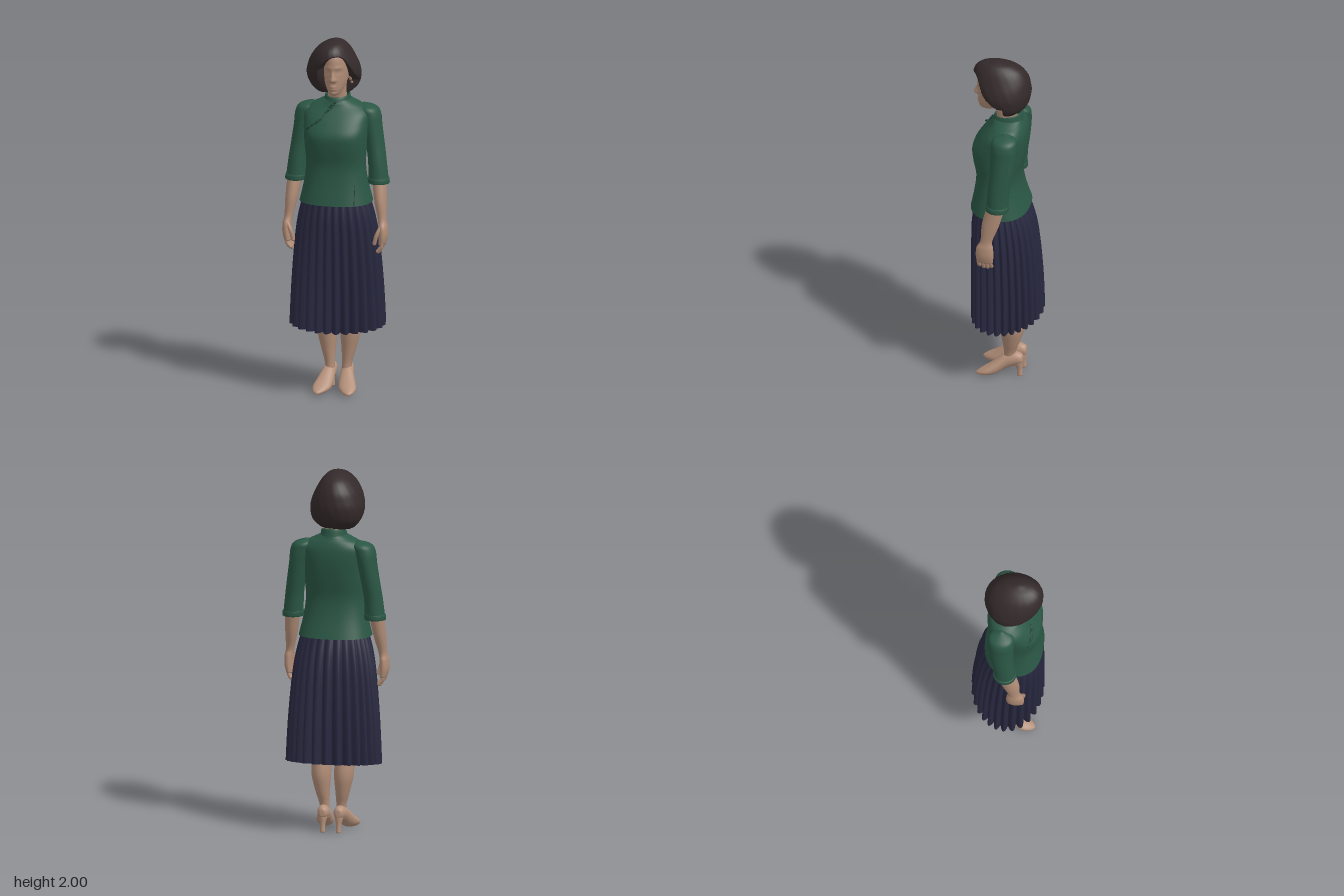
import * as THREE from 'three';
import { mergeGeometries } from 'three/addons/utils/BufferGeometryUtils.js';

const mat = (name, color, side = THREE.FrontSide) =>
  Object.assign(new THREE.MeshStandardMaterial({ color, side }), { name });
const smooth = (v, a, b) => THREE.MathUtils.smoothstep(v, a, b);
const bump = (v, c, w) => Math.exp(-(((v - c) / w) ** 2));

// Section key: [height, centreX, halfWidth, frontZ, backZ, squareness]
function sample(keys, t) {
  const n = keys.length - 1, f = t * n, i = Math.min(Math.floor(f), n - 1), u = f - i;
  const at = (k, c) => keys[Math.max(0, Math.min(n, k))][c] ?? 2;
  return [0, 1, 2, 3, 4, 5].map(c => {
    const [a, b, d, e] = [at(i - 1, c), at(i, c), at(i + 1, c), at(i + 2, c)];
    return b + 0.5 * u * (d - a + u * (2 * a - 5 * b + 4 * d - e + u * (3 * (b - d) + e - a)));
  });
}

// Smooth skin over sections listed from bottom to top
function loft(keys, { seg = 32, steps = 5, cap = true, warp } = {}) {
  const pos = [], idx = [], rings = (keys.length - 1) * steps, v = new THREE.Vector3();
  for (let i = 0; i <= rings; i++) {
    const [y, cx, rx, zf, zb, p] = sample(keys, i / rings);
    for (let j = 0; j < seg; j++) {
      const a = (j / seg) * Math.PI * 2, s = Math.sin(a), c = Math.cos(a), e = 2 / p;
      v.set(cx + rx * Math.sign(s) * Math.abs(s) ** e, y,
        (zf + zb) / 2 + (zf - zb) / 2 * Math.sign(c) * Math.abs(c) ** e);
      if (warp) warp(v, a, i / rings);
      pos.push(v.x, v.y, v.z);
      if (i < rings) {
        const k = i * seg + j, m = i * seg + (j + 1) % seg;
        idx.push(k, m, m + seg, k, m + seg, k + seg);
      }
    }
  }
  if (cap) for (const i of [0, rings]) {
    const [y, cx, , zf, zb] = sample(keys, i / rings), centre = pos.length / 3;
    pos.push(cx, y, (zf + zb) / 2);
    for (let j = 0; j < seg; j++) {
      const k = i * seg + j, m = i * seg + (j + 1) % seg;
      idx.push(centre, ...(i ? [k, m] : [m, k]));
    }
  }
  const g = new THREE.BufferGeometry();
  g.setAttribute('position', new THREE.Float32BufferAttribute(pos, 3));
  g.setIndex(idx);
  g.computeVertexNormals();
  return g;
}

// Round cord or finger along points, with round ends
function cord(points, r) {
  const pts = points.map(p => new THREE.Vector3(...p));
  const ends = [pts[0], pts[pts.length - 1]].map(p => new THREE.SphereGeometry(r, 10, 8).translate(p.x, p.y, p.z));
  return mergeGeometries([new THREE.TubeGeometry(new THREE.CatmullRomCurve3(pts), 16, r, 10), ...ends]);
}

const torsoKeys = [
  [1.085, 0, .2, .197, -.126, 2.4], [1.2, 0, .174, .176, -.092, 2.4], [1.3, 0, .163, .168, -.08, 2.4],
  [1.4, 0, .17, .185, -.095, 2.5], [1.47, 0, .175, .188, -.105, 2.5], [1.53, 0, .18, .156, -.11, 2.4],
  [1.58, 0, .18, .118, -.108, 2.3], [1.615, 0, .15, .09, -.1, 2.1], [1.637, 0, .108, .08, -.09, 2], [1.655, 0, .07, .074, -.083, 2]];

// Front surface of the blouse at a given x and y
function chestPoint(x, y, lift = .002) {
  let lo = 0, hi = 1;
  for (let i = 0; i < 24; i++) {
    const m = (lo + hi) / 2;
    if (sample(torsoKeys, m)[0] < y) lo = m; else hi = m;
  }
  const [, , rx, zf, zb, p] = sample(torsoKeys, lo);
  const c = Math.max(0, 1 - Math.min(1, Math.abs(x) / rx) ** p) ** (1 / p);
  return [x, y, (zf + zb) / 2 + (zf - zb) / 2 * c + lift];
}

export function createModel() {
  const model = new THREE.Group();
  model.name = 'woman';
  const skin = mat('skin', 0xb08c76), shoe = mat('shoe leather', 0xb5917b);
  const green = mat('blouse green', 0x2a5644, THREE.DoubleSide), trim = mat('trim green', 0x1f4436);
  const navy = mat('skirt navy', 0x27273f, THREE.DoubleSide), hairMat = mat('hair', 0x33292a, THREE.DoubleSide);
  const metal = mat('earring', 0x8c7558);
  const add = (name, geo, material) => {
    const m = new THREE.Mesh(geo, material);
    m.name = name;
    model.add(m);
    return m;
  };

  // Pleated skirt, hem slightly higher at the back
  add('skirt', loft([
    [.36, 0, .268, .198, -.2], [.6, 0, .256, .198, -.192], [.85, 0, .235, .198, -.172],
    [1.0, 0, .212, .194, -.145], [1.12, 0, .18, .172, -.105]], {
    seg: 270, steps: 6, cap: false, warp: (v, a, t) => {
      const lobe = Math.abs(Math.sin(13.5 * a + .5 * Math.sin(3 * a))) ** .8;
      const depth = .036 * (1 - t) ** .8 + .004;
      const k = 1 - depth * (1 - lobe) / Math.hypot(v.x, v.z);
      v.x *= k; v.z *= k;
      v.y += (1 - t) * (.2 - v.z) * .1;
    } }), navy);

  // Blouse body, stand collar, diagonal fastening
  add('blouse', loft(torsoKeys, { seg: 64, cap: false }), green);
  add('collar', loft([[1.635, 0, .082, .085, -.088], [1.66, 0, .073, .08, -.084], [1.692, 0, .068, .074, -.078],
    [1.694, 0, .062, .068, -.072], [1.66, 0, .06, .066, -.07]], {
    cap: false, steps: 3, warp: (v, a, t) => { v.y -= Math.min(1, t * 2) * (.1 + v.z) * .17; } }), green);
  const placket = [[0, 1.635], [-.03, 1.605], [-.08, 1.55], [-.13, 1.515], [-.158, 1.46]];
  add('placket', cord(placket.map(([x, y]) => chestPoint(x, y, 0)), .0035), trim);
  for (const [x, y] of [[-.012, 1.632], [-.03, 1.605], [-.083, 1.548], [-.128, 1.515]]) {
    add('frogFastener', cord([-1, 0, 1].map(k => chestPoint(x + k * .018, y + k * .014, .003)), .005), trim);
    add('frogKnot', new THREE.SphereGeometry(.007, 10, 8).translate(...chestPoint(x, y, .006)), trim);
  }
  add('hemSeam', cord([1.093, 1.13, 1.17, 1.2].map(y => chestPoint(.125, y, 0)), .002), trim);

  for (const side of [1, -1]) {
    const name = side > 0 ? 'left' : 'right';
    const mirror = keys => keys.map(([y, cx, ...rest]) => [y, cx * side, ...rest]);
    const path = pts => pts.map(([x, y, z]) => [x * side, y, z]);

    // Sleeve and turned cuff
    add(name + 'Sleeve', loft(mirror([
      [1.19, .23, .056, .066, -.054], [1.3, .222, .051, .06, -.06], [1.4, .208, .051, .052, -.075],
      [1.5, .191, .054, .052, -.087], [1.565, .178, .06, .052, -.09], [1.605, .163, .052, .042, -.082],
      [1.628, .145, .004, -.018, -.026]]), { cap: false, seg: 36 }), green);
    add(name + 'Cuff', loft(mirror([[1.188, .231, .05, .06, -.048], [1.186, .231, .059, .069, -.057],
      [1.212, .229, .059, .069, -.058], [1.215, .228, .053, .063, -.055]]), { cap: false, steps: 3 }), green);

    // Forearm and hand
    add(name + 'Forearm', loft(mirror([
      [.855, .262, .02, .112, .022], [.9, .268, .025, .117, .018], [.95, .267, .025, .113, .02],
      [.995, .26, .024, .092, .026], [1.1, .247, .035, .086, -.012], [1.24, .232, .042, .05, -.045]])), skin);
    for (let i = 0; i < 4; i++) {
      const z = .034 + i * .022, tip = .808 + Math.abs(i - 1.4) * .008;
      add(name + 'Finger', cord(path([[.266, .885, z], [.262, .845, z + .002], [.243, tip, z]]), .0105), skin);
    }
    add(name + 'Thumb', cord(path([[.262, .96, .095], [.24, .915, .11], [.226, .865, .108]]), .011), skin);

    // Leg
    add(name + 'Leg', loft(mirror([
      [.07, .046, .03, .02, -.068], [.14, .047, .027, .01, -.054], [.22, .056, .039, .018, -.078],
      [.31, .063, .053, .032, -.096], [.4, .066, .054, .042, -.085], [.5, .068, .056, .052, -.065],
      [.75, .085, .075, .09, -.08]])), skin);

    // Pointed shoe, sections run from heel to toe
    add(name + 'Shoe', loft(mirror([
      [-.096, .045, .012, -.09, -.125], [-.085, .045, .026, -.078, -.14], [-.05, .047, .034, -.066, -.148],
      [0, .052, .038, -.042, -.132], [.05, .062, .047, -.01, -.094], [.095, .073, .048, -.003, -.06],
      [.135, .082, .03, -.003, -.034], [.157, .087, .008, -.005, -.018]])).rotateX(Math.PI / 2), shoe);
    add(name + 'Heel', loft(mirror([[0, .045, .014, -.062, -.094], [.04, .045, .014, -.06, -.092],
      [.075, .045, .022, -.045, -.094], [.1, .045, .028, -.03, -.094]]), { seg: 20 }), shoe);

    // Ear and earring
    const ear = add(name + 'Ear', new THREE.SphereGeometry(1, 16, 12), skin);
    ear.scale.set(.012, .03, .018);
    ear.position.set(.005 + side * .073, 1.79, .03);
    add(name + 'Earring', new THREE.SphereGeometry(.008, 12, 8).translate(.005 + side * .081, 1.752, .032), metal);
  }

  // Neck, and head with nose, lips, brow and eye sockets
  add('neck', loft([[1.6, 0, .06, .062, -.06], [1.66, 0, .052, .06, -.052], [1.72, .002, .05, .075, -.05],
    [1.78, .004, .05, .09, -.05]]), skin);
  add('head', loft([
    [1.698, .005, .012, .135, .1], [1.708, .005, .03, .152, .06], [1.73, .005, .046, .159, .015],
    [1.765, .005, .06, .163, -.03], [1.81, .005, .07, .165, -.07], [1.86, .005, .074, .168, -.09],
    [1.92, .005, .07, .158, -.09], [1.965, .005, .04, .115, -.05]], {
    seg: 96, steps: 8, warp: v => {
      if (v.z < .08) return;
      const x = Math.abs(v.x - .005), { y } = v;
      const ridge = smooth(y, 1.775, 1.79) * (1 - smooth(y, 1.79, 1.85));
      v.z += .026 * ridge * bump(x, 0, .009 + .008 * bump(y, 1.787, .015))
        + .007 * bump(x, 0, .02) * (bump(y, 1.752, .006) + bump(y, 1.738, .006))
        + .005 * bump(x, 0, .02) * bump(y, 1.713, .01)
        - .01 * bump(x, .031, .015) * bump(y, 1.835, .012)
        + .005 * bump(x, .031, .009) * bump(y, 1.834, .006)
        + .004 * bump(x, .028, .025) * bump(y, 1.86, .008);
    } }), skin);

  // Bobbed hair, folded inward behind the face opening
  add('hair', loft([
    [1.685, -.018, .075, .045, -.035], [1.7, -.018, .1, .075, -.07], [1.74, -.015, .135, .12, -.108],
    [1.8, -.015, .15, .17, -.125], [1.85, -.015, .142, .192, -.124], [1.9, -.016, .122, .198, -.112],
    [1.95, -.012, .09, .183, -.078], [1.982, -.005, .054, .145, -.025], [1.996, 0, .02, .09, .03], [2, 0, .002, .062, .058]], {
    seg: 160, steps: 10, warp: (v, a, t) => {
      const groove = 1 + .006 * Math.sin(18 * a + 40 * v.y) * (1 - t);
      v.x *= groove; v.z *= groove;
      const dx = v.x - .03, line = 1.927 - dx * dx * (dx < 0 ? 6.6 : 16);
      const open = smooth(line - v.y, 0, .012) * smooth(v.x, -.078, -.066) * smooth(v.z, 0, .02);
      v.x *= 1 - .75 * open; v.z *= 1 - .75 * open;
    } }), hairMat);

  return model;
}
